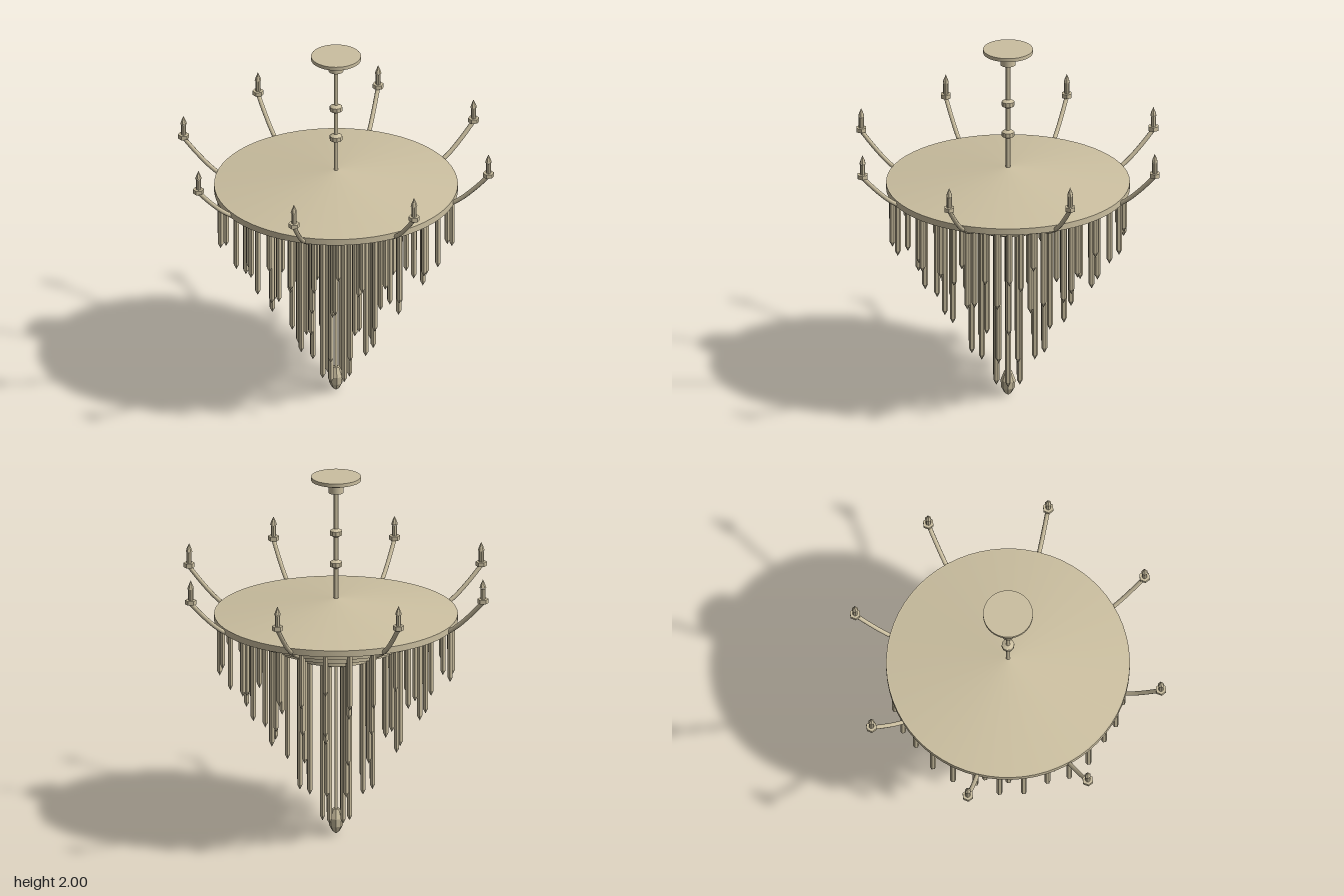
import * as THREE from 'three';

const brass = new THREE.MeshStandardMaterial({ color: 0xcbbfa0 });
brass.name = 'paleBrass';
const faceted = (g) => { const f = g.toNonIndexed(); f.computeVertexNormals(); return f; };

function add(parent, name, geometry, x = 0, y = 0, z = 0) {
  const mesh = new THREE.Mesh(geometry, brass);
  mesh.name = name;
  mesh.position.set(x, y, z);
  parent.add(mesh);
  return mesh;
}

// Upright cylinder between two heights
function drum(parent, name, radius, y0, y1, sides = 48) {
  return add(parent, name, new THREE.CylinderGeometry(radius, radius, y1 - y0, sides), 0, (y0 + y1) / 2, 0);
}

const lathe = (pts, sides) =>
  faceted(new THREE.LatheGeometry(pts.map(([r, y]) => new THREE.Vector2(r, y)), sides));

// Hexagonal hanging prism with a pointed tip
const prism = (top, tip) =>
  lathe([[0, tip], [0.016, tip + 0.03], [0.016, top], [0, top]], 6);

export function createModel() {
  const model = new THREE.Group();
  model.name = 'chandelier';

  // Ceiling mount and stem
  drum(model, 'ceilingPlate', 0.133, 1.98, 2);
  drum(model, 'ceilingStep', 0.07, 1.958, 1.98, 32);
  drum(model, 'ceilingCollar', 0.04, 1.91, 1.958, 24);
  drum(model, 'stem', 0.012, 1.3, 1.915, 12);
  for (const y of [1.51, 1.685]) {
    add(model, 'stemKnob', lathe([[0.012, -0.024], [0.034, -0.012], [0.034, 0.012], [0.012, 0.024]], 10), 0, y, 0);
  }

  // Shallow conical canopy with its rim
  add(model, 'canopy', new THREE.ConeGeometry(0.65, 0.088, 64, 1, true), 0, 1.276, 0);
  drum(model, 'canopyRim', 0.65, 1.198, 1.233, 64);

  // Stepped tiers, each with a ring of hanging prisms; every third is shorter on the wide rings
  const tiers = [
    { radius: 0.62, top: 1.2, tip: 0.887, alt: 0.965, count: 30, shift: 0 },
    { plate: 0.49, y0: 1.13, y1: 1.2, radius: 0.48, top: 1.135, tip: 0.69, alt: 0.79, count: 24, shift: 0.5 },
    { plate: 0.365, y0: 1.07, y1: 1.13, radius: 0.342, top: 1.075, tip: 0.487, alt: 0.605, count: 18, shift: 0 },
    { plate: 0.222, y0: 1.005, y1: 1.07, radius: 0.2, top: 1.01, tip: 0.263, alt: 0.263, count: 12, shift: 0.5 },
    { plate: 0.09, y0: 0.96, y1: 1.005, radius: 0.072, top: 0.965, tip: 0.073, alt: 0.073, count: 6, shift: 0 },
  ];
  for (const t of tiers) {
    if (t.plate) drum(model, 'tierPlate', t.plate, t.y0, t.y1);
    const long = prism(t.top, t.tip);
    const short = prism(t.top, t.alt);
    for (let i = 0; i < t.count; i++) {
      const a = ((i + t.shift) / t.count) * Math.PI * 2;
      add(model, 'prism', i % 3 === 2 ? short : long, t.radius * Math.cos(a), 0, t.radius * Math.sin(a));
    }
  }

  // Central rod and bottom finial
  drum(model, 'centreRod', 0.009, 0.12, 0.97, 8);
  add(model, 'finial', lathe([[0, 0], [0.02, 0.015], [0.036, 0.045], [0.04, 0.088], [0.02, 0.14], [0, 0.14]], 8));

  // Eight curved arms carrying candles
  const path = new THREE.CatmullRomCurve3([
    [0.46, 1.135], [0.53, 1.15], [0.61, 1.187], [0.69, 1.24], [0.77, 1.315], [0.843, 1.395],
  ].map(([r, y]) => new THREE.Vector3(r, y, 0)));
  const armGeo = new THREE.TubeGeometry(path, 14, 0.012, 8);
  const cupGeo = lathe([[0, 1.39], [0.03, 1.392], [0.03, 1.415], [0, 1.415]], 6).rotateY(Math.PI / 6);
  const candleGeo = lathe([[0.014, 1.41], [0.014, 1.475]], 8);
  const flameGeo = lathe([[0, 1.472], [0.018, 1.477], [0.013, 1.495], [0, 1.525]], 6).rotateY(Math.PI / 6);
  for (let i = 0; i < 8; i++) {
    const a = Math.PI / 8 + (i * Math.PI) / 4;
    add(model, 'armTube', armGeo).rotation.y = a;
    const x = 0.843 * Math.cos(a), z = -0.843 * Math.sin(a);
    add(model, 'candleCup', cupGeo, x, 0, z);
    add(model, 'candle', candleGeo, x, 0, z);
    add(model, 'flame', flameGeo, x, 0, z);
  }
  return model;
}
